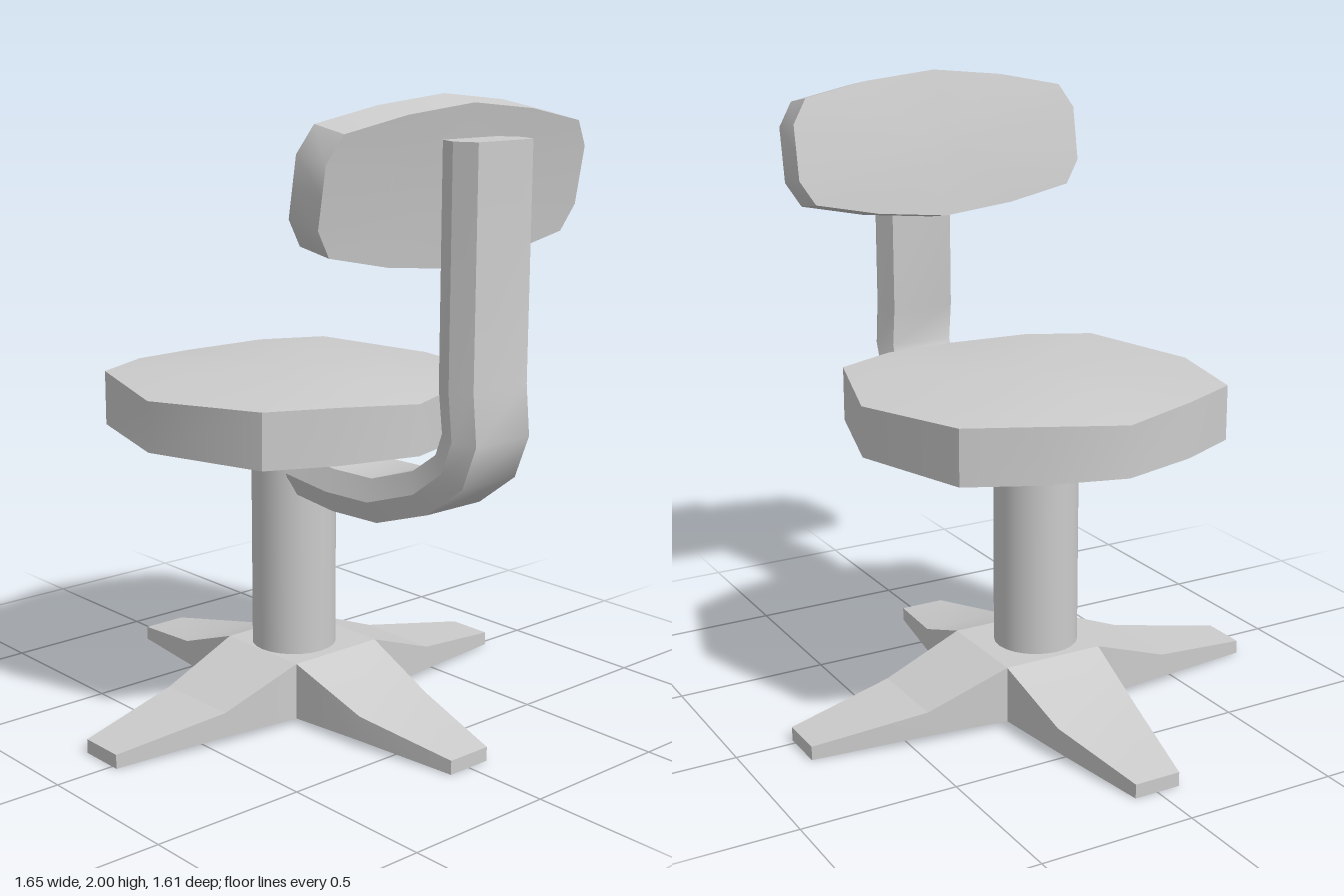
import * as THREE from 'three';
import { toCreasedNormals } from 'three/addons/utils/BufferGeometryUtils.js';

const material = new THREE.MeshStandardMaterial({ color: 0xcccccc });

function addMesh(parent, name, geometry) {
  const mesh = new THREE.Mesh(geometry, material);
  mesh.name = name;
  parent.add(mesh);
  return mesh;
}

// Skin a closed solid over rings of [x, y, z], each counter-clockwise about the travel direction
function loft(rings, crease = 0.7) {
  const out = [];
  const tri = (...corners) => corners.forEach((c) => out.push(...c));
  const middle = (ring) => [0, 1, 2].map((k) => ring.reduce((s, p) => s + p[k], 0) / ring.length);
  const last = rings[rings.length - 1];
  const n = last.length;
  for (let i = 0; i < n; i++) {
    const j = (i + 1) % n;
    for (let r = 0; r < rings.length - 1; r++) {
      const a = rings[r], b = rings[r + 1];
      tri(a[i], a[j], b[j]);
      tri(a[i], b[j], b[i]);
    }
    tri(middle(rings[0]), rings[0][j], rings[0][i]);
    tri(middle(last), last[i], last[j]);
  }
  const geometry = new THREE.BufferGeometry();
  geometry.setAttribute('position', new THREE.Float32BufferAttribute(out, 3));
  return toCreasedNormals(geometry, crease);
}

// Mirror a quarter outline, running from (0, b) to (a, 0), into a full one
function mirrorQuarter(q) {
  const flip = (list, sa, sb) => list.map(([a, b, ...rest]) => [a * sa, b * sb, ...rest]);
  return [
    ...q,
    ...flip(q.slice(0, -1).reverse(), 1, -1),
    ...flip(q.slice(1), -1, -1),
    ...flip(q.slice(1, -1).reverse(), -1, 1),
  ];
}

const rectangle = (a, b) => [[-a, -b], [-a, b], [a, b], [a, -b]];

// Four tapering feet around a square hub
function createBase() {
  const base = new THREE.Group();
  base.name = 'base';
  base.position.x = -0.055;
  addMesh(base, 'hub', new THREE.BoxGeometry(0.34, 0.185, 0.34).translate(0, 0.1075, 0));
  for (let i = 0; i < 4; i++) {
    const reach = i % 2 ? 0.805 : 0.77;
    const sections = [[0.17, 0.17, 0.015, 0.2], [0.44, 0.145, 0.02, 0.1], [reach, 0.077, 0, 0.045]];
    const rings = sections.map(([d, w, low, high]) =>
      [[d, low, -w], [d, high, -w], [d, high, w], [d, low, w]]);
    addMesh(base, 'foot', loft(rings, 0.2)).rotation.y = i * Math.PI / 2;
  }
  return base;
}

// Domed twelve-sided cushion with a stepped mount below
function createSeat() {
  const seat = new THREE.Group();
  seat.name = 'seat';
  seat.position.x = -0.083;
  const outline = mirrorQuarter([
    [0, 0.587, 1.085], [0.395, 0.468, 1.1], [0.495, 0.26, 1.1], [0.568, 0, 1.085],
  ]);
  addMesh(seat, 'seatCushion', loft([
    outline.map(([x, z]) => [x, 0.925, z]),
    outline.map(([x, z, y]) => [x, y, z]),
    outline.map(([x, z]) => [x * 0.5, 1.12, z * 0.5]),
  ]));
  const steps = [[0.89, 0.15], [0.9, 0.2], [0.928, 0.25]];
  addMesh(seat, 'seatMount', loft(steps.map(([y, w]) =>
    rectangle(w, w).map(([x, z]) => [x, y, z])), 0.2));
  return seat;
}

// Six-sided arm sweeping from the column up behind the seat
function createSupportArm() {
  const path = [
    [0.03, 0.805], [0.22, 0.785], [0.405, 0.79], [0.6, 0.855],
    [0.715, 0.94], [0.753, 1.04], [0.738, 1.18], [0.738, 1.88],
  ];
  const h = 0.068;
  const section = [[h, -0.11], [h, 0.11], [0, 0.14], [-h, 0.11], [-h, -0.11], [0, -0.14]];
  const rings = path.map(([x, y], i) => {
    const p = path[Math.max(i - 1, 0)];
    const q = path[Math.min(i + 1, path.length - 1)];
    // Mean direction of the neighbouring segments, each given equal weight
    const t = new THREE.Vector2(x - p[0], y - p[1]).normalize()
      .add(new THREE.Vector2(q[0] - x, q[1] - y).normalize()).normalize();
    if (i === path.length - 1) t.set(0, 1);
    return section.map(([u, v]) => [x - t.y * u, y + t.x * u, v]);
  });
  return loft(rings);
}

// Tilted, gently curved pad with a bracket on its rear
function createBackrest() {
  const back = new THREE.Group();
  back.name = 'backrest';
  back.position.set(0.5225, 1.7625, 0);
  back.rotation.z = -0.175;
  const outline = mirrorQuarter([[0, 0.241], [0.25, 0.215], [0.47, 0.17], [0.52, 0.09], [0.52, 0]]);
  addMesh(back, 'backPad', loft([0, 0.122].map((x) =>
    outline.map(([z, y]) => [x - 0.045 * z * z, y, z]))));
  const steps = [[0.112, 0.275, 0.113], [0.155, 0.21, 0.087]];
  addMesh(back, 'backBracket', loft(steps.map(([x, w, h]) =>
    rectangle(w, h).map(([z, y]) => [x, y + 0.015, z]).reverse()), 0.2).translate(0, 0, 0));
  return back;
}

export function createModel() {
  const model = new THREE.Group();
  model.name = 'swivelChair';
  model.add(createBase(), createSeat(), createBackrest());
  const column = addMesh(model, 'column', new THREE.CylinderGeometry(0.137, 0.137, 0.685, 24));
  column.position.set(-0.06, 0.5425, 0.03);
  addMesh(model, 'supportArm', createSupportArm());
  return model;
}
